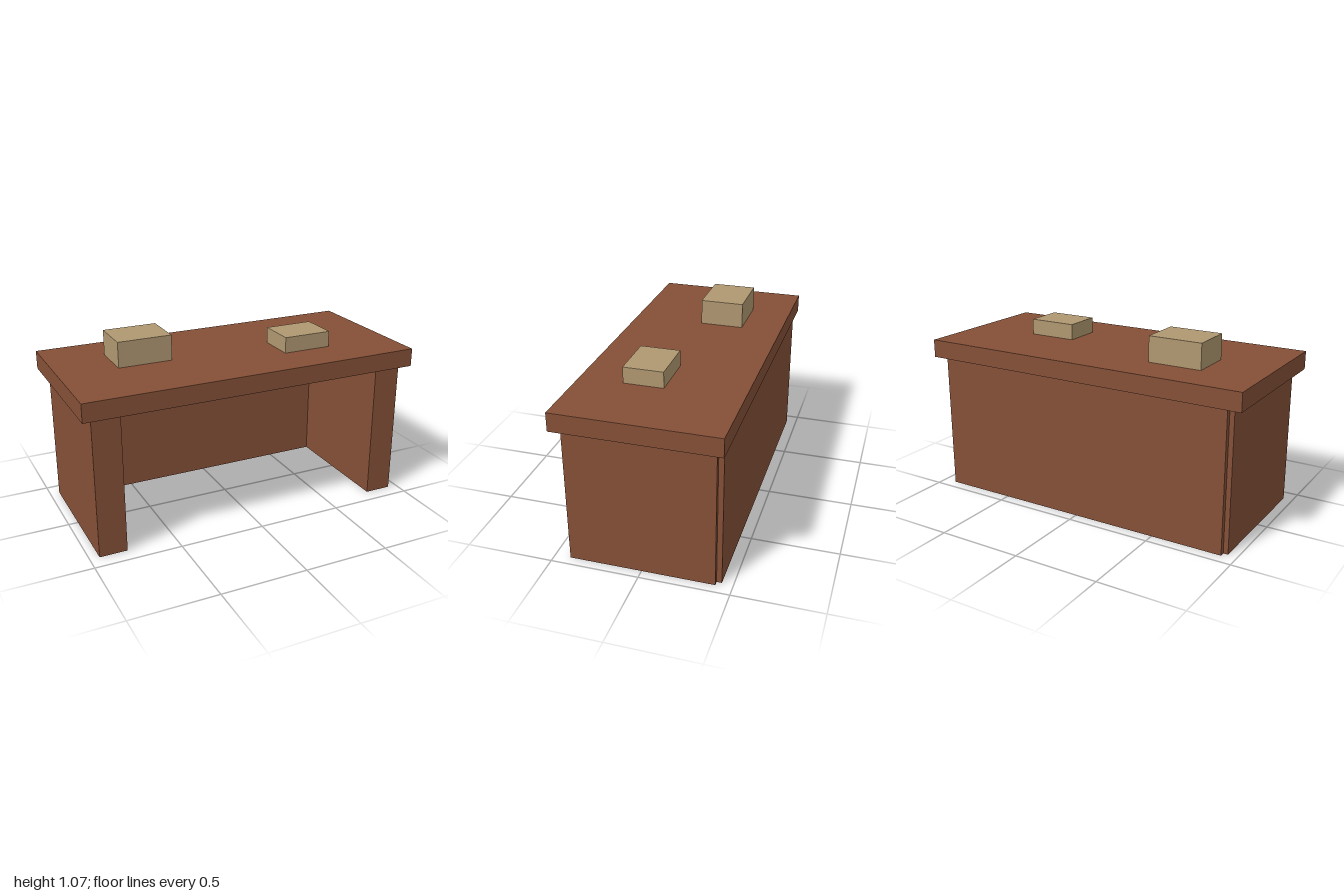
import * as THREE from 'three';

export function createModel() {
  const model = new THREE.Group();
  model.name = 'desk';

  const wood = new THREE.MeshStandardMaterial({ color: 0x855037 });
  wood.name = 'brown wood';
  const paper = new THREE.MeshStandardMaterial({ color: 0xb09871 });
  paper.name = 'tan paper';

  // Box given by its extents along each axis
  function addBox(name, material, [x0, x1], [y0, y1], [z0, z1]) {
    const mesh = new THREE.Mesh(new THREE.BoxGeometry(x1 - x0, y1 - y0, z1 - z0), material);
    mesh.position.set((x0 + x1) / 2, (y0 + y1) / 2, (z0 + z1) / 2);
    mesh.name = name;
    model.add(mesh);
  }

  const underside = 0.812;
  const surface = 0.918;

  addBox('deskTop', wood, [-1, 1], [underside, surface], [-0.455, 0.455]);

  // Side panels, mirrored
  addBox('leftSidePanel', wood, [0.785, 0.945], [0, underside], [-0.408, 0.41]);
  addBox('rightSidePanel', wood, [-0.945, -0.785], [0, underside], [-0.408, 0.41]);

  // Back panel, standing slightly proud of the sides
  addBox('backPanel', wood, [-0.918, 0.918], [0, underside], [-0.437, -0.325]);

  // Stacks lying on the desk
  addBox('tallStack', paper, [-0.662, -0.346], [surface, 1.066], [-0.218, 0.036]);
  addBox('lowStack', paper, [0.29, 0.58], [surface, 1.011], [-0.022, 0.205]);

  return model;
}
